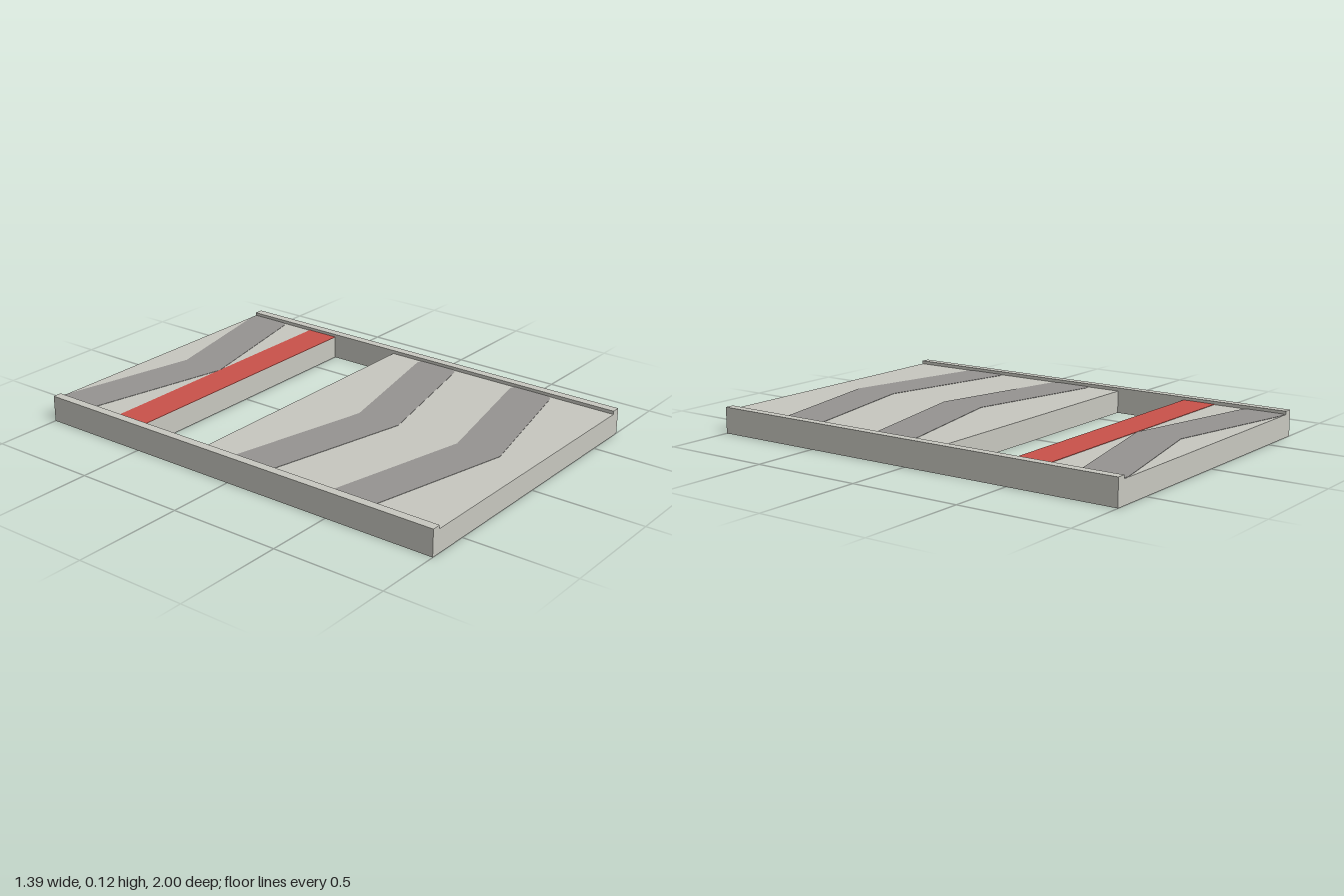
import * as THREE from 'three';

const HALF_W = 0.695, INNER = 0.655, DECK_Y = 0.102, RAIL_Y = 0.117;

export function createModel() {
  const model = new THREE.Group();
  model.name = 'floorPanel';

  const concrete = new THREE.MeshStandardMaterial({ color: 0xc8c8c0 });
  concrete.name = 'paleConcrete';
  const grey = new THREE.MeshStandardMaterial({ color: 0x969492 });
  grey.name = 'greyPaint';
  const red = new THREE.MeshStandardMaterial({ color: 0xca524a });
  red.name = 'redPaint';

  // Box given by its minimum and maximum corners
  function block(name, material, [x0, y0, z0], [x1, y1, z1]) {
    const mesh = new THREE.Mesh(new THREE.BoxGeometry(x1 - x0, y1 - y0, z1 - z0), material);
    mesh.position.set((x0 + x1) / 2, (y0 + y1) / 2, (z0 + z1) / 2);
    mesh.name = name;
    model.add(mesh);
  }

  // Raised side rails run the full length
  block('leftRail', concrete, [INNER, 0, -1], [HALF_W, RAIL_Y, 1]);
  block('rightRail', concrete, [-HALF_W, 0, -1], [-INNER, RAIL_Y, 1]);

  // Deck slabs with an open gap between them
  block('frontDeck', concrete, [-INNER, 0, -0.155], [INNER, DECK_Y, 1]);
  block('backDeck', concrete, [-INNER, 0, -1], [INNER, DECK_Y, -0.5]);

  // Warning stripe along the edge of the gap
  block('warningStripe', red, [-INNER, DECK_Y, -0.655], [INNER, DECK_Y + 0.002, -0.5]);

  // Painted chevrons with clipped outer corners, pointing to the front
  const half = [[0.655, 0.18], [0.655, 0.01], [0.63, 0]];
  const outline = [
    [0, 0.345], [0.635, 0.202], ...half,
    [0, 0.14],
    ...half.map(([x, z]) => [-x, z]).reverse(), [-0.635, 0.202],
  ];
  const chevron = new THREE.ExtrudeGeometry(
    new THREE.Shape(outline.map(([x, z]) => new THREE.Vector2(x, -z))),
    { depth: 0.0015, bevelEnabled: false },
  );
  chevron.rotateX(-Math.PI / 2);
  [['backChevron', -1], ['middleChevron', 0], ['frontChevron', 0.5]].forEach(([name, z]) => {
    const mesh = new THREE.Mesh(chevron, grey);
    mesh.name = name;
    mesh.position.set(0, DECK_Y, z);
    model.add(mesh);
  });

  return model;
}
